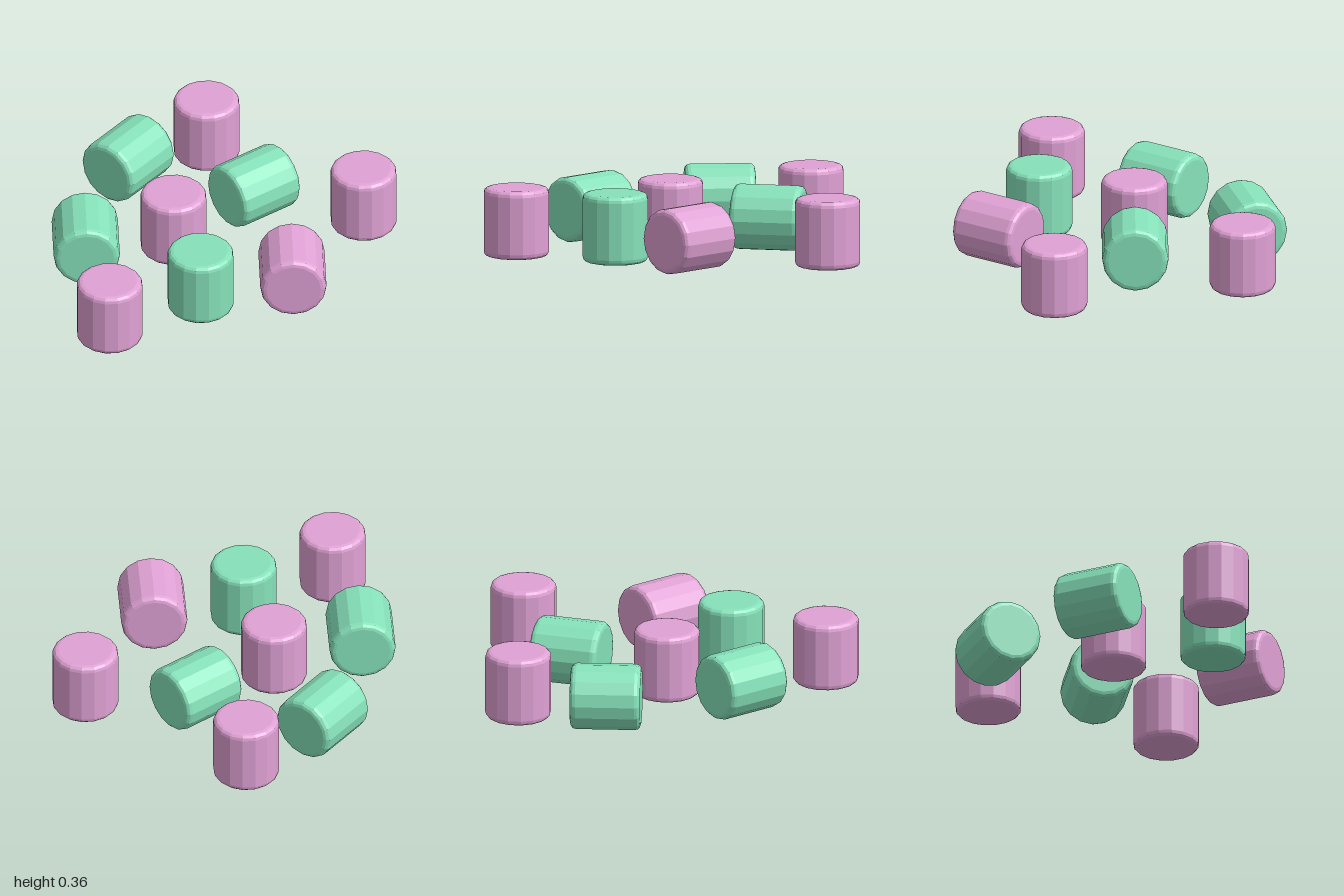
import * as THREE from 'three';

const RADIUS = 0.173, BEVEL = 0.03, SIDES = 16;

// Faceted cylinder with rounded rims, centred on the origin, axis along y
function roundedCylinder(height) {
  const pts = [new THREE.Vector2(0, -height / 2)];
  for (const end of [-1, 1]) {
    for (let i = 0; i <= 3; i++) {
      const a = (end < 0 ? i - 3 : i) * Math.PI / 6;
      pts.push(new THREE.Vector2(
        RADIUS - BEVEL + BEVEL * Math.cos(a),
        end * (height / 2 - BEVEL) + BEVEL * Math.sin(a)));
    }
  }
  pts.push(new THREE.Vector2(0, height / 2));
  return new THREE.LatheGeometry(pts, SIDES);
}

export function createModel() {
  const group = new THREE.Group();
  const pink = new THREE.MeshStandardMaterial({ color: 0xe0a2d5, flatShading: true });
  const green = new THREE.MeshStandardMaterial({ color: 0x86e2ba, flatShading: true });

  // Sweets standing on end: x, z, material
  const HEIGHT = 0.362;
  const upright = roundedCylinder(HEIGHT);
  [
    [-0.64, -0.543, pink],
    [0.345, -0.828, pink],
    [-0.08, 0.093, pink],
    [0.345, 0.828, pink],
    [0.415, 0.288, green],
  ].forEach(([x, z, material], i) => {
    const sweet = new THREE.Mesh(upright, material);
    sweet.name = `standingSweet${i + 1}`;
    sweet.position.set(x, HEIGHT / 2, z);
    group.add(sweet);
  });

  // Sweets lying on their side: x, z, heading of the axis from +z in degrees
  const lying = roundedCylinder(0.368).rotateX(Math.PI / 2);
  [
    [-0.08, -0.432, 0, green],
    [-0.668, -0.053, 14.5, green],
    [-0.235, 0.549, 55, green],
    [0.63, -0.15, 55, pink],
  ].forEach(([x, z, heading, material], i) => {
    const sweet = new THREE.Mesh(lying, material);
    sweet.name = `lyingSweet${i + 1}`;
    sweet.position.set(x, RADIUS, z);
    sweet.rotation.y = THREE.MathUtils.degToRad(heading);
    group.add(sweet);
  });

  return group;
}
